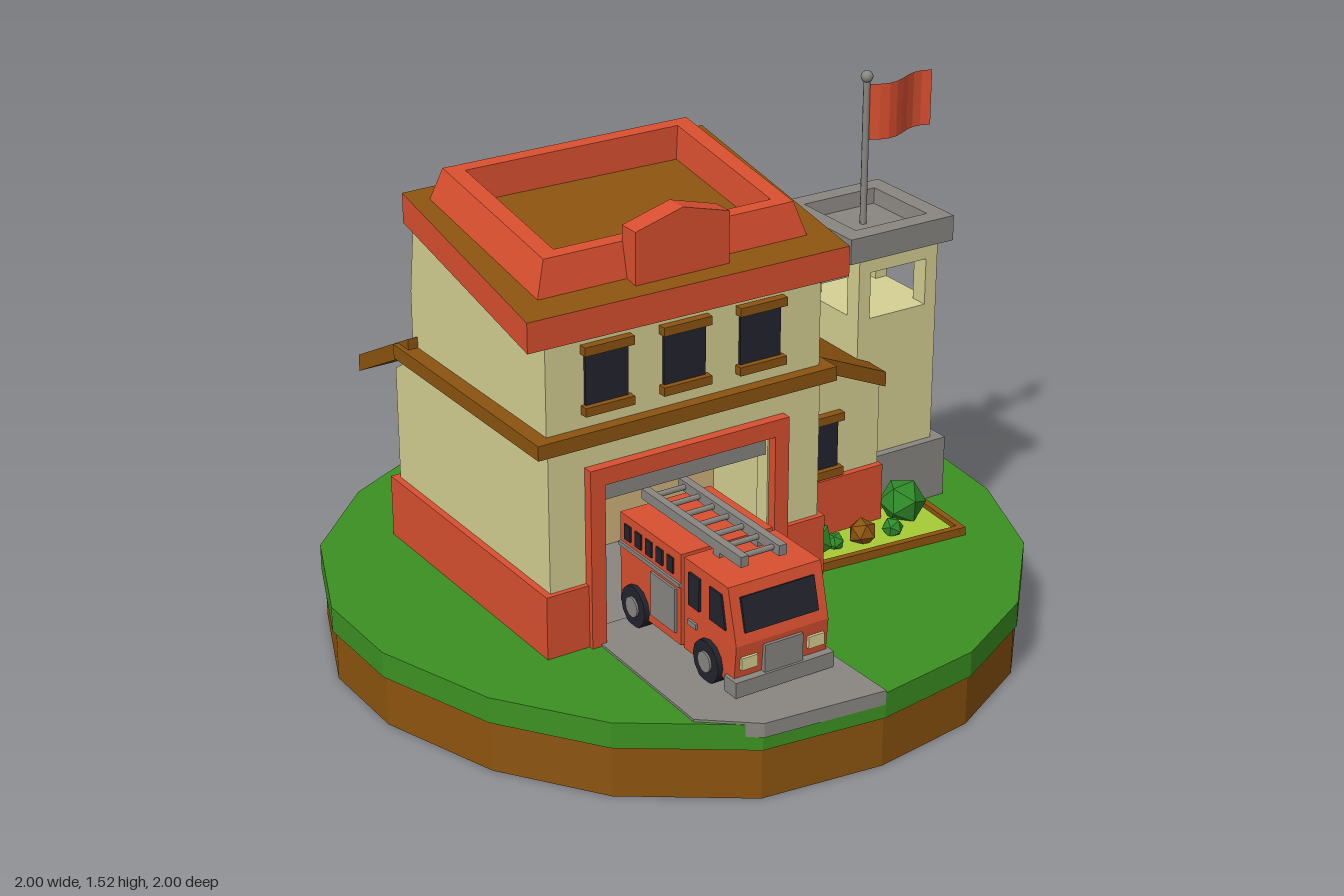
import * as THREE from 'three';

const M = {};
for (const [name, color] of Object.entries({
  brown: 0x8c5410, red: 0xda5030, cream: 0xd6d194, grey: 0x8a8782, grass: 0x3c9122,
  lime: 0xa6cc36, glass: 0x23232e, bush: 0x2f8a28, tan: 0xd2b67e,
})) { M[name] = new THREE.MeshStandardMaterial({ color }); M[name].name = name; }
const flagMat = new THREE.MeshStandardMaterial({ color: 0xda5030, side: THREE.DoubleSide });
flagMat.name = 'flag red';

export function createModel() {
  const root = new THREE.Group();
  root.name = 'fireStation';
  let parent = root;

  const add = (name, geo, mat) => {
    const m = new THREE.Mesh(geo, mat);
    m.name = name;
    parent.add(m);
    return m;
  };
  const section = (name) => {
    parent = new THREE.Group();
    parent.name = name;
    root.add(parent);
    return parent;
  };
  const flat = (g) => {
    const f = g.index ? g.toNonIndexed() : g;
    f.computeVertexNormals();
    return f;
  };
  // box from its limits
  const box = (name, mat, x0, x1, y0, y1, z0, z1) =>
    add(name, new THREE.BoxGeometry(x1 - x0, y1 - y0, z1 - z0)
      .translate((x0 + x1) / 2, (y0 + y1) / 2, (z0 + z1) / 2), mat);
  const shape = (pts) => new THREE.Shape(pts.map(([a, b]) => new THREE.Vector2(a, b)));
  const extrude = (s, depth) => new THREE.ExtrudeGeometry(s, { depth, bevelEnabled: false });
  // outline [x, z] raised from y0 to y1
  const ground = (name, mat, pts, y0, y1) =>
    add(name, extrude(shape(pts.map(([x, z]) => [x, -z])), y1 - y0).rotateX(-Math.PI / 2).translate(0, y0, 0), mat);
  // profile [z, y] drawn out from x0 to x1
  const prismX = (name, mat, pts, x0, x1) =>
    add(name, extrude(shape(pts), x1 - x0).rotateY(-Math.PI / 2).translate(x1, 0, 0), mat);
  // profile [x, y] drawn out from z0 to z1
  const prismZ = (name, mat, pts, z0, z1) =>
    add(name, extrude(shape(pts), z1 - z0).translate(0, 0, z0), mat);
  // sloping slab; top corners: back left, back right, front right, front left as seen from above
  const slab = (name, mat, c, t) => {
    const v = c.map((p) => new THREE.Vector3(...p));
    const g = new THREE.BoxGeometry(1, 1, 1), p = g.attributes.position;
    for (let i = 0; i < p.count; i++) {
      const u = p.getX(i) + 0.5, w = p.getZ(i) + 0.5, drop = (0.5 - p.getY(i)) * t;
      const q = v[0].clone().lerp(v[1], u).lerp(v[3].clone().lerp(v[2], u), w);
      p.setXYZ(i, q.x, q.y - drop, q.z);
    }
    g.computeVertexNormals();
    return add(name, g, mat);
  };
  // square lathe: profile [half side, y]
  const square = (pts) => new THREE.LatheGeometry(
    pts.map(([r, y]) => new THREE.Vector2(r * Math.SQRT2, y)), 4, Math.PI / 4);
  const rod = (name, mat, r, a, b, sides = 8) => {
    const A = new THREE.Vector3(...a), B = new THREE.Vector3(...b), d = B.clone().sub(A);
    const m = add(name, new THREE.CylinderGeometry(r, r, d.length(), sides), mat);
    m.position.copy(A).add(B).multiplyScalar(0.5);
    m.quaternion.setFromUnitVectors(new THREE.Vector3(0, 1, 0), d.normalize());
  };
  // window on a wall facing +z or -z
  const windowAt = (x, y, z, w, h, s) => {
    const b = (n, mat, hw, y0, y1, d) =>
      box(n, mat, x - hw, x + hw, y0, y1, Math.min(z, z + s * d), Math.max(z, z + s * d));
    b('windowGlass', M.glass, w / 2, y - h / 2, y + h / 2, 0.008);
    b('windowLintel', M.brown, w / 2 + 0.01, y + h / 2 - 0.01, y + h / 2 + 0.015, 0.025);
    b('windowSill', M.brown, w / 2 + 0.01, y - h / 2 - 0.015, y - h / 2 + 0.01, 0.025);
  };

  // island
  section('island');
  const rim = [[0.03, -1], [0.36, -0.95], [0.68, -0.75], [0.9, -0.48], [1, -0.1], [0.97, 0.2], [0.84, 0.53],
    [0.6, 0.8], [0.32, 0.95], [0, 1], [-0.36, 0.96], [-0.68, 0.74], [-0.88, 0.46], [-1, 0.1], [-1, -0.2],
    [-0.86, -0.55], [-0.61, -0.8], [-0.3, -0.96]];
  ground('soil', M.brown, rim.map(([x, z]) => [x * 0.99, z * 0.99]), 0, 0.155);
  ground('lawn', M.grass, rim, 0.15, 0.225);
  ground('driveway', M.grey, [[-0.49, 0.3], [-0.02, 0.3], [0, 1], [-0.36, 0.965], [-0.5, 0.85]], 0.19, 0.232);
  add('stone', flat(new THREE.IcosahedronGeometry(0.03, 0)), M.cream).position.set(0.965, 0.08, -0.16);

  // garden with border and bushes
  section('garden');
  const bed = [[0.22, -0.43], [0.78, -0.48], [0.72, 0.39], [0.22, 0.35]];
  ground('gardenBed', M.lime, bed, 0.21, 0.236);
  for (let i = 0; i < 3; i++) {
    const [a, b] = [bed[i], bed[i + 1]], dx = b[0] - a[0], dz = b[1] - a[1];
    const m = add('gardenBorder', new THREE.BoxGeometry(Math.hypot(dx, dz) + 0.02, 0.035, 0.02), M.brown);
    m.position.set((a[0] + b[0]) / 2, 0.233, (a[1] + b[1]) / 2);
    m.rotation.y = Math.atan2(-dz, dx);
  }
  [[0.31, -0.37, 0.06], [0.44, -0.385, 0.08], [0.65, -0.37, 0.088], [0.29, 0.26, 0.06], [0.36, 0.27, 0.03],
    [0.45, 0.28, 0.043, 1], [0.55, 0.29, 0.033], [0.64, 0.215, 0.07]].forEach(([x, z, r, dry], i) => {
    const m = add('bush', flat(new THREE.IcosahedronGeometry(r, 0)), dry ? M.brown : M.bush);
    m.position.set(x, 0.225 + r * 0.8, z);
    m.rotation.set(0.2, i * 0.9, 0.1);
  });

  // lower floor with open garage
  section('lowerFloor');
  const front = shape([[-0.63, 0.22], [-0.47, 0.22], [-0.47, 0.7], [0.06, 0.7], [0.06, 0.22], [0.23, 0.22], [0.23, 0.84], [-0.63, 0.84]]);
  add('frontWall', extrude(front, 0.05).translate(0, 0, 0.31), M.cream);
  const side = [[0.31, 0.22], [-0.48, 0.22], [-0.48, 0.75], [-0.35, 0.83], [0.31, 0.83]];
  prismX('sideWall', M.cream, side, -0.63, -0.59);
  prismX('sideWall', M.cream, side, 0.19, 0.23);
  box('backWall', M.cream, -0.63, 0.23, 0.22, 0.75, -0.48, -0.45);
  box('garageBackWall', M.tan, -0.59, 0.19, 0.22, 0.8, -0.12, -0.1);
  box('garageCeiling', M.tan, -0.59, 0.19, 0.78, 0.8, -0.1, 0.31);
  box('garageFloor', M.grey, -0.59, 0.19, 0.22, 0.23, -0.1, 0.36);
  box('rolledDoor', M.grey, -0.47, 0.06, 0.635, 0.7, 0.31, 0.35);
  const arch = shape([[-0.52, 0.22], [-0.475, 0.22], [-0.475, 0.7], [0.065, 0.7], [0.065, 0.22], [0.11, 0.22], [0.11, 0.75], [-0.52, 0.75]]);
  add('garageFrame', extrude(arch, 0.08).translate(0, 0, 0.31), M.red);
  box('plinth', M.red, -0.65, -0.51, 0.22, 0.41, 0.3, 0.375);
  box('plinth', M.red, 0.1, 0.245, 0.22, 0.41, 0.3, 0.375);
  box('plinth', M.red, -0.65, -0.62, 0.22, 0.41, -0.5, 0.36);
  box('plinth', M.red, 0.22, 0.245, 0.22, 0.41, -0.5, 0.36);
  box('plinth', M.red, -0.64, 0.24, 0.22, 0.41, -0.5, -0.47);
  box('ledge', M.brown, -0.675, 0.265, 0.82, 0.862, -0.4, 0.39);
  slab('backAwning', M.brown, [[-0.66, 0.735, -0.65], [0.22, 0.735, -0.7], [0.23, 0.895, -0.34], [-0.66, 0.895, -0.34]], 0.05);

  // upper floor and sloping roof
  section('upperFloor');
  prismX('upperWalls', M.cream, [[0.355, 0.85], [-0.37, 0.85], [-0.37, 1.02], [-0.335, 1.27], [0.355, 1.16]], -0.63, 0.23);
  for (const x of [-0.45, -0.21, 0.03]) windowAt(x, 1, 0.355, 0.13, 0.165, 1);
  section('roof');
  slab('roofSlab', [M.red, M.red, M.brown, M.red, M.red, M.red],
    [[-0.67, 1.33, -0.32], [0.31, 1.33, -0.35], [0.29, 1.21, 0.4], [-0.7, 1.21, 0.39]], 0.085);
  const ring = square([[1, 0], [0.92, 0.1], [0.8, 0.1], [0.78, -0.01]]);
  ring.scale(0.42, 1, 0.285);
  const rp = ring.attributes.position;
  for (let i = 0; i < rp.count; i++) rp.setY(i, rp.getY(i) + 1.268 - 0.165 * (rp.getZ(i) + 0.02));
  add('roofParapet', flat(ring), M.red).position.set(-0.2, 0, 0.02);
  prismZ('roofGable', M.red, [[-0.35, 1.2], [-0.06, 1.2], [-0.06, 1.365], [-0.205, 1.405], [-0.35, 1.365]], 0.28, 0.345);

  // side wing
  section('sideWing');
  prismZ('wingWalls', M.cream, [[0.22, 0.22], [0.57, 0.22], [0.57, 0.665], [0.22, 0.82]], -0.29, 0.18);
  box('wingPlinth', M.red, 0.22, 0.575, 0.22, 0.41, -0.31, 0.2);
  slab('wingRoof', M.brown, [[0.22, 0.86, -0.36], [0.58, 0.705, -0.35], [0.57, 0.705, 0.21], [0.22, 0.86, 0.22]], 0.045);
  windowAt(0.36, 0.515, 0.18, 0.125, 0.165, 1);
  windowAt(0.36, 0.515, -0.29, 0.125, 0.165, -1);

  // lookout tower
  section('tower');
  box('towerBase', M.grey, 0.545, 0.84, 0.22, 0.41, -0.19, 0.15);
  box('towerShaft', M.cream, 0.53, 0.805, 0.41, 0.84, -0.165, 0.125);
  for (const [x0, x1] of [[0.53, 0.57], [0.765, 0.805]])
    for (const [z0, z1] of [[-0.165, -0.11], [0.07, 0.125]]) box('towerPost', M.cream, x0, x1, 0.84, 0.98, z0, z1);
  box('towerHead', M.cream, 0.53, 0.805, 0.98, 1.04, -0.165, 0.125);
  add('towerCap', flat(square([[0, 0], [0.18, 0], [0.18, 0.075], [0.125, 0.075], [0.12, 0.03], [0, 0.03]])), M.grey)
    .position.set(0.66, 1.03, -0.03);
  rod('flagPole', M.grey, 0.01, [0.657, 1.05, -0.035], [0.657, 1.5, -0.035]);
  add('poleKnob', new THREE.SphereGeometry(0.018, 10, 8), M.grey).position.set(0.657, 1.5, -0.035);
  const cloth = new THREE.PlaneGeometry(0.23, 0.165, 8, 1), cp = cloth.attributes.position;
  for (let i = 0; i < cp.count; i++) cp.setZ(i, 0.022 * Math.sin((cp.getX(i) + 0.115) * 25));
  add('flag', flat(cloth), flagMat).position.set(0.777, 1.395, -0.03);

  // fire engine, built around its own centre line
  section('fireEngine').position.x = -0.205;
  prismX('cab', M.red, [[0.81, 0.265], [0.82, 0.38], [0.78, 0.535], [0.575, 0.535], [0.575, 0.265]], -0.145, 0.145);
  box('body', M.red, -0.145, 0.145, 0.265, 0.535, 0.26, 0.56);
  box('chassis', M.glass, -0.12, 0.12, 0.245, 0.3, 0.27, 0.79);
  box('bumper', M.grey, -0.155, 0.155, 0.24, 0.285, 0.78, 0.835);
  box('grille', M.grey, -0.06, 0.06, 0.285, 0.365, 0.8, 0.828);
  const shield = box('windshield', M.glass, -0.115, 0.115, -0.048, 0.048, -0.004, 0.004);
  shield.position.set(0, 0.458, 0.803);
  shield.rotation.x = -0.2526;
  for (const s of [-1, 1]) {
    const plate = (n, mat, y0, y1, z0, z1, d = 0.007) =>
      box(n, mat, Math.min(s * 0.143, s * (0.145 + d)), Math.max(s * 0.143, s * (0.145 + d)), y0, y1, z0, z1);
    box('headlight', M.cream, s * 0.105 - 0.025, s * 0.105 + 0.025, 0.31, 0.345, 0.8, 0.825);
    prismX('cabWindow', M.glass, [[0.775, 0.41], [0.755, 0.505], [0.7, 0.505], [0.7, 0.41]],
      s > 0 ? 0.143 : -0.15, s > 0 ? 0.15 : -0.143);
    plate('cabWindow', M.glass, 0.41, 0.505, 0.605, 0.655);
    plate('doorHandle', M.grey, 0.35, 0.365, 0.6, 0.64);
    plate('lockerDoor', M.grey, 0.295, 0.425, 0.42, 0.54);
    plate('bodyTrim', M.grey, 0.438, 0.45, 0.26, 0.56);
    for (let i = 0; i < 5; i++) plate('locker', M.glass, 0.465, 0.51, 0.285 + i * 0.053, 0.315 + i * 0.053, 0.005);
    for (const z of [0.7, 0.345]) {
      rod('tyre', M.glass, 0.06, [s * 0.105, 0.288, z], [s * 0.16, 0.288, z], 12);
      rod('hub', M.grey, 0.03, [s * 0.155, 0.288, z], [s * 0.166, 0.288, z], 10);
    }
    box('ladderRail', M.grey, s * 0.06 - 0.012, s * 0.06 + 0.012, 0.55, 0.58, 0.25, 0.73);
    box('ladderStand', M.grey, s * 0.06 - 0.012, s * 0.06 + 0.012, 0.53, 0.56, 0.6, 0.63);
  }
  for (let i = 0; i < 7; i++) rod('ladderRung', M.grey, 0.008, [-0.06, 0.565, 0.28 + i * 0.07], [0.06, 0.565, 0.28 + i * 0.07], 6);

  return root;
}
